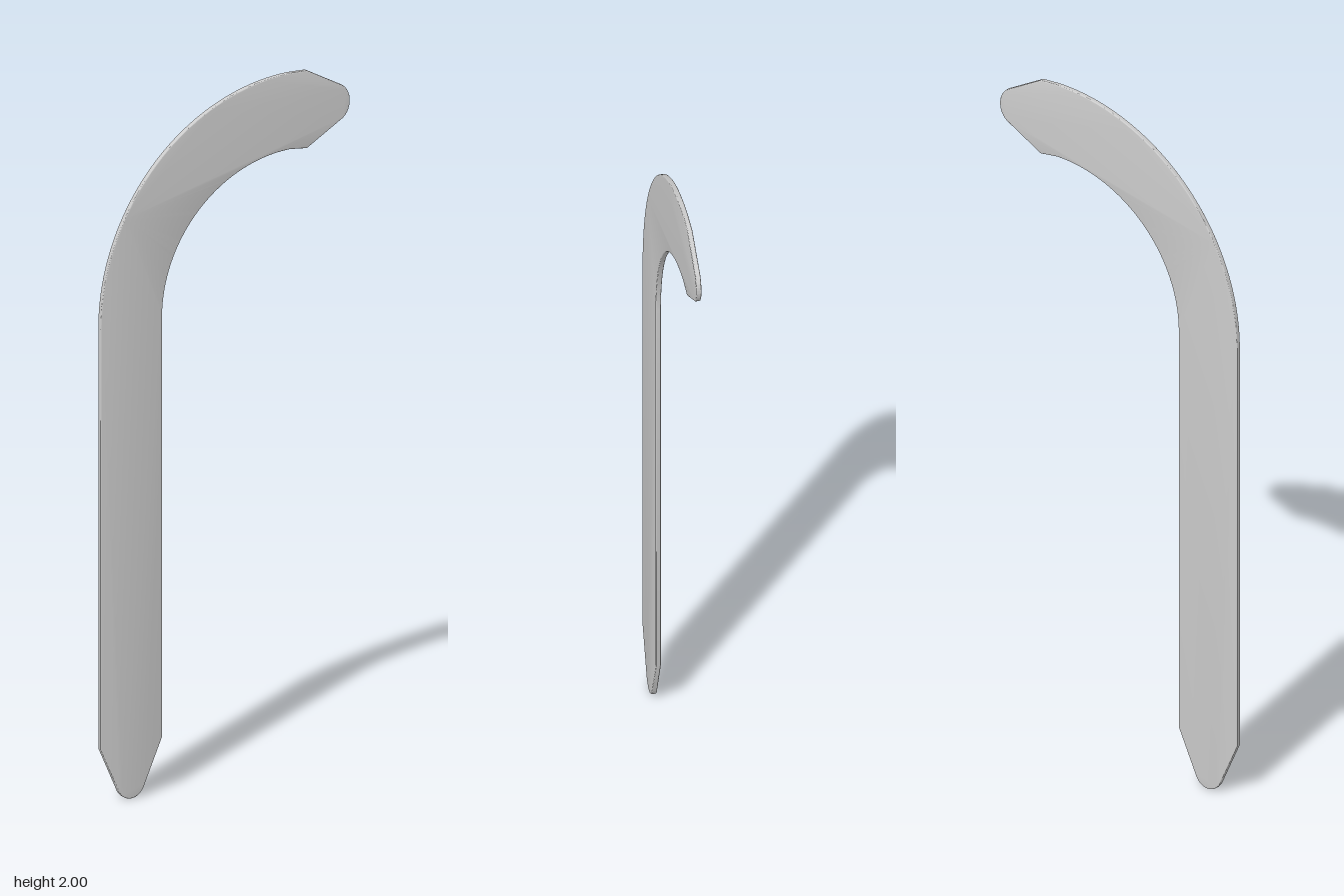
import * as THREE from 'three';
import { toCreasedNormals } from 'three/addons/utils/BufferGeometryUtils.js';

export function createModel() {
  const group = new THREE.Group();
  group.name = 'hookedStrip';

  const bevel = 0.003;
  const thickness = 0.015;

  // Outline: blunt lower point, straight shank, elliptical bend, blunt upper point
  const s = new THREE.Shape();
  s.moveTo(-0.405, 0.16);
  s.lineTo(-0.349, 0.035);
  s.bezierCurveTo(-0.332, -0.0117, -0.278, -0.0117, -0.261, 0.035);
  s.lineTo(-0.205, 0.16);
  s.lineTo(-0.205, 1.37);
  s.absellipse(0.21, 1.37, 0.415, 0.41, Math.PI, Math.PI * 0.5, true, 0);
  s.lineTo(0.265, 1.773);
  s.lineTo(0.38, 1.838);
  s.bezierCurveTo(0.412, 1.86, 0.412, 1.913, 0.38, 1.934);
  s.lineTo(0.265, 1.997);
  s.lineTo(0.21, 2.0);
  s.absellipse(0.21, 1.37, 0.615, 0.63, Math.PI * 0.5, Math.PI, false, 0);
  s.closePath();

  // Thin plate with softened rims
  const geometry = new THREE.ExtrudeGeometry(s, {
    depth: thickness - 2 * bevel,
    curveSegments: 40,
    bevelEnabled: true,
    bevelThickness: bevel,
    bevelSize: bevel,
    bevelOffset: -bevel,
    bevelSegments: 4,
  });
  geometry.translate(0, 0, -thickness / 2 + bevel);

  const plate = new THREE.Mesh(
    toCreasedNormals(geometry, 0.5),
    new THREE.MeshStandardMaterial({ color: 0xcccccc })
  );
  plate.name = 'curvedPlate';
  group.add(plate);
  return group;
}
